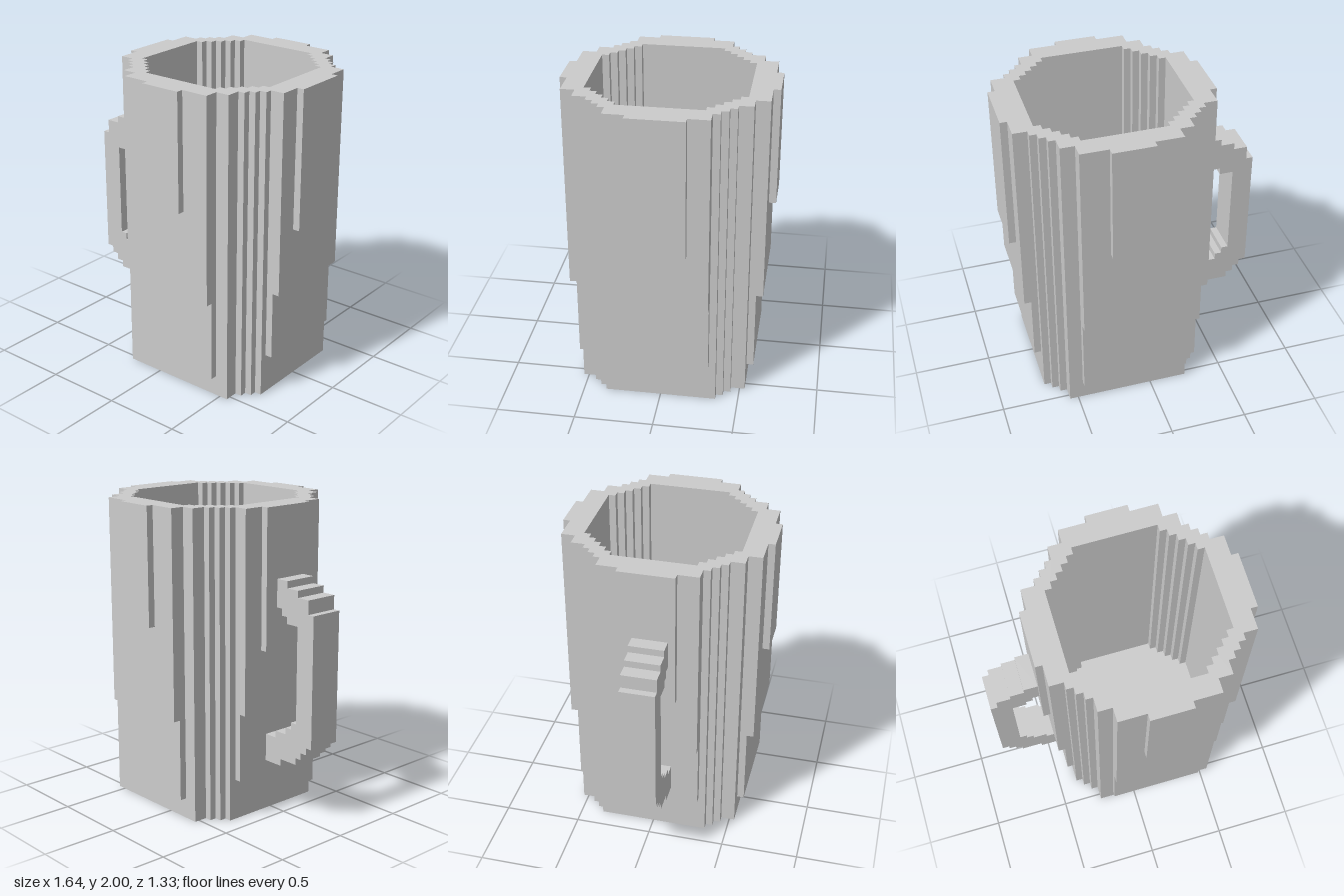
import * as THREE from 'three';

const U = 2 / 45;          // size of one block
const HEIGHT = 45, FLOOR = 2;

// Closed outline from quadrant steps [halfX, halfZ], mirrored to all four quadrants
function steppedOutline(steps) {
  const q = [];
  steps.forEach(([x, z], i) => {
    if (i > 0) q.push([x, steps[i - 1][1]]);
    q.push([x, z]);
  });
  const r = [...q].reverse();
  return [
    ...q,
    ...r.map(([x, z]) => [-x, z]),
    ...q.map(([x, z]) => [-x, -z]),
    ...r.map(([x, z]) => [x, -z]),
  ].map(([x, z]) => new THREE.Vector2(x, z));
}

// Extrude a ground-plan shape upward from y0 to y1
function extrudeUp(shape, y0, y1) {
  const g = new THREE.ExtrudeGeometry(shape, { depth: y1 - y0, bevelEnabled: false });
  return g.rotateX(-Math.PI / 2).translate(0, y0, 0);
}

export function createModel() {
  const model = new THREE.Group();
  model.name = 'mug';
  const material = new THREE.MeshStandardMaterial({ color: 0xcccccc, flatShading: true });

  const add = (name, geometry) => {
    const mesh = new THREE.Mesh(geometry, material);
    mesh.name = name;
    model.add(mesh);
    return mesh;
  };

  // Body: stepped wall around a stepped hollow, closed by a floor
  const outer = steppedOutline([[12, 8], [11, 9], [10, 10], [9, 12]]);
  const inner = steppedOutline([[11, 6], [10, 7], [9, 8], [8, 9], [7, 10], [6, 11]]);
  const wall = new THREE.Shape(outer);
  wall.holes.push(new THREE.Path(inner));
  add('wall', extrudeUp(wall, FLOOR, HEIGHT));
  add('floor', extrudeUp(new THREE.Shape(outer), 0, FLOOR));

  // Layered panels that widen the mug toward the rim: [inner distance, bottom, half width]
  const frontLayers = [[12, 3, 7], [13, 15, 7], [14, 28, 3]];
  const sideLayers = [[12, 6, 7], [13, 16, 7], [14, 25, 4]];
  const sides = [
    ['front', 0, frontLayers], ['left', 1, sideLayers],
    ['back', 2, frontLayers], ['right', 3, sideLayers],
  ];
  for (const [side, turn, layers] of sides) {
    layers.forEach(([d, y0, half], i) => {
      const g = new THREE.BoxGeometry(half * 2, HEIGHT - y0, 1);
      g.translate(0, (HEIGHT + y0) / 2, d + 0.5).rotateY(turn * Math.PI / 2);
      add(`${side}Panel${i + 1}`, g);
    });
  }

  // Handle: stepped C profile, five blocks deep
  const profile = [
    // outer edge, top to bottom
    [-15, 35], [-17, 35], [-17, 34], [-19, 34], [-19, 33], [-21, 33], [-21, 31], [-22, 31],
    [-22, 12], [-21, 12], [-21, 11], [-20, 11], [-20, 10], [-19, 10], [-19, 9], [-16, 9],
    [-16, 8], [-13, 8],
    // inner edge, bottom to top
    [-13, 12], [-15, 12], [-15, 13], [-17, 13], [-17, 14], [-18, 14], [-18, 15], [-19, 15],
    [-19, 29], [-17, 29], [-17, 30], [-16, 30], [-16, 31], [-15, 31],
  ].map(([x, y]) => new THREE.Vector2(x, y));
  const handle = new THREE.ExtrudeGeometry(new THREE.Shape(profile), { depth: 5, bevelEnabled: false });
  add('handle', handle.translate(0, 0, -2));

  // Scale blocks to units and centre the mug with its handle
  model.scale.setScalar(U);
  model.position.x = 3.5 * U;
  return model;
}
